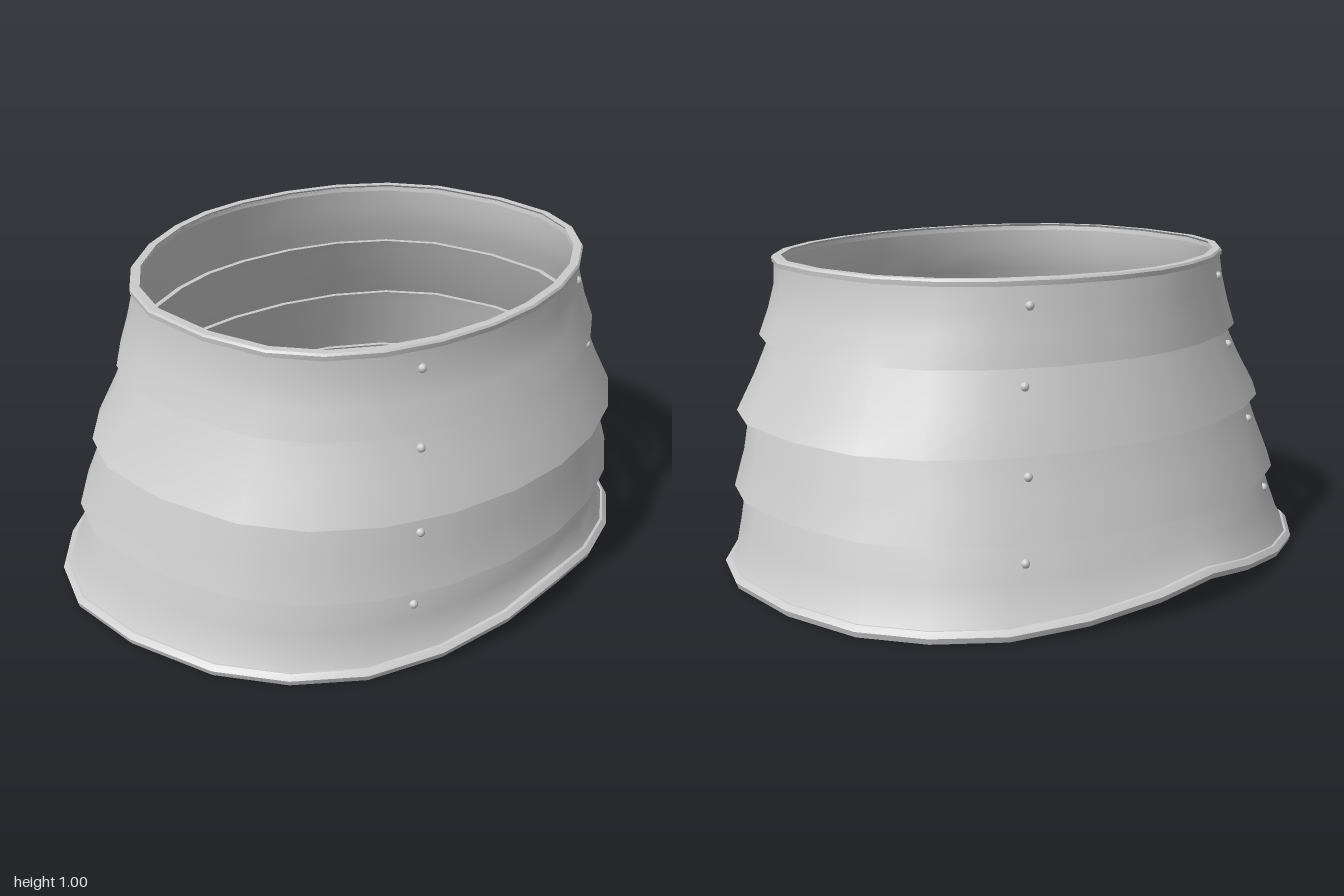
import * as THREE from 'three';
import { toCreasedNormals } from 'three/addons/utils/BufferGeometryUtils.js';

const SEGMENTS = 24;
const THICK = 0.018;

// A row is [y, half width, front z, back z, share of the hem lift].
// Point on the row at angle a (0 = front, PI = back).
function ringPoint([y, rx, zf, zb, lift = 0], a) {
  const s = Math.sin(a), c = Math.cos(a);
  const mid = -0.05 + 0.15 * y;                       // widest point moves forward going up
  const x = Math.sign(s) * Math.abs(s) ** (c >= 0 ? 1.05 : 1.15) * rx;
  const z = mid + (c >= 0 ? zf - mid : zb - mid) * Math.abs(c) ** 0.8;
  const fromCentre = Math.asin(Math.min(1, Math.abs(s)));
  const rise = 0.075 * Math.max(0, 1 - fromCentre / 0.7);  // hem arches at front and back
  return new THREE.Vector3(x - 0.01 * y, y + rise * lift, z);
}

// Closed plate ring: outer rows from top to bottom, then the inner rows back up.
function plateRing(rows, thick = THICK) {
  const inner = rows.map(([y, rx, zf, zb, l]) => [y, rx - thick, zf - thick, zb + thick, l]).reverse();
  const loop = [...rows, ...inner];
  const n = loop.length, positions = [], index = [];
  for (const row of loop) {
    for (let i = 0; i < SEGMENTS; i++) {
      positions.push(...ringPoint(row, (i / SEGMENTS) * Math.PI * 2).toArray());
    }
  }
  for (let j = 0; j < n; j++) {
    for (let i = 0; i < SEGMENTS; i++) {
      const k = (i + 1) % SEGMENTS, m = (j + 1) % n;
      const a = j * SEGMENTS + i, b = j * SEGMENTS + k;
      const c = m * SEGMENTS + i, d = m * SEGMENTS + k;
      index.push(a, c, b, b, c, d);
    }
  }
  const geometry = new THREE.BufferGeometry();
  geometry.setAttribute('position', new THREE.Float32BufferAttribute(positions, 3));
  geometry.setIndex(index);
  return toCreasedNormals(geometry, 0.7);
}

// Four overlapping bands, top to bottom
const BANDS = [
  [[0.99, 0.76, 0.712, -0.612], [0.91, 0.765, 0.715, -0.625], [0.83, 0.788, 0.738, -0.638], [0.745, 0.82, 0.772, -0.655]],
  [[0.775, 0.776, 0.728, -0.618], [0.735, 0.793, 0.742, -0.634], [0.62, 0.845, 0.79, -0.675], [0.503, 0.91, 0.842, -0.722]],
  [[0.535, 0.86, 0.795, -0.682], [0.495, 0.873, 0.805, -0.695], [0.38, 0.903, 0.81, -0.74], [0.26, 0.942, 0.842, -0.788]],
  [[0.29, 0.9, 0.795, -0.74], [0.25, 0.911, 0.806, -0.76], [0.15, 0.938, 0.81, -0.79, 0.3],
    [0.06, 0.963, 0.82, -0.825, 0.8], [0.012, 0.992, 0.845, -0.85, 1]],
];
const TOP_RIM = [[1.0, 0.763, 0.715, -0.616], [0.993, 0.768, 0.72, -0.621], [0.978, 0.766, 0.718, -0.619]];
const HEM_RIM = [[0.034, 0.985, 0.842, -0.847, 1], [0.018, 1.0, 0.856, -0.861, 1], [0, 0.994, 0.85, -0.855, 1]];

// Rivet height, front angle and back angle (degrees) for each band
const RIVETS = [[0.92, 35, 142], [0.69, 36, 141], [0.44, 36, 141], [0.2, 36, 139]];

// Position on the faceted outer face of a band
function onBand(rows, y, degrees) {
  let j = 0;
  while (j < rows.length - 2 && rows[j + 1][0] > y) j++;
  const t = (rows[j][0] - y) / (rows[j][0] - rows[j + 1][0]);
  const row = rows[j].slice(0, 4).map((v, i) => v + (rows[j + 1][i] - v) * t);
  const f = degrees / 360 * SEGMENTS, i = Math.floor(f);
  const step = Math.PI * 2 / SEGMENTS;
  return ringPoint(row, i * step).lerp(ringPoint(row, (i + 1) * step), f - i);
}

export function createModel() {
  const group = new THREE.Group();
  const steel = new THREE.MeshStandardMaterial({ color: 0xcccccc });
  steel.name = 'steel grey';

  const add = (name, geometry) => {
    const mesh = new THREE.Mesh(geometry, steel);
    mesh.name = name;
    group.add(mesh);
    return mesh;
  };

  BANDS.forEach((rows, i) => add(`band${i + 1}`, plateRing(rows)));
  add('topRim', plateRing(TOP_RIM, 0.026));
  add('hemRim', plateRing(HEM_RIM, 0.03));

  // Rivets at the four diagonals of every band
  const head = new THREE.SphereGeometry(0.014, 10, 8);
  RIVETS.forEach(([y, front, back], i) => {
    for (const degrees of [front, back, 360 - back, 360 - front]) {
      add('rivet', head).position.copy(onBand(BANDS[i], y, degrees));
    }
  });
  return group;
}
